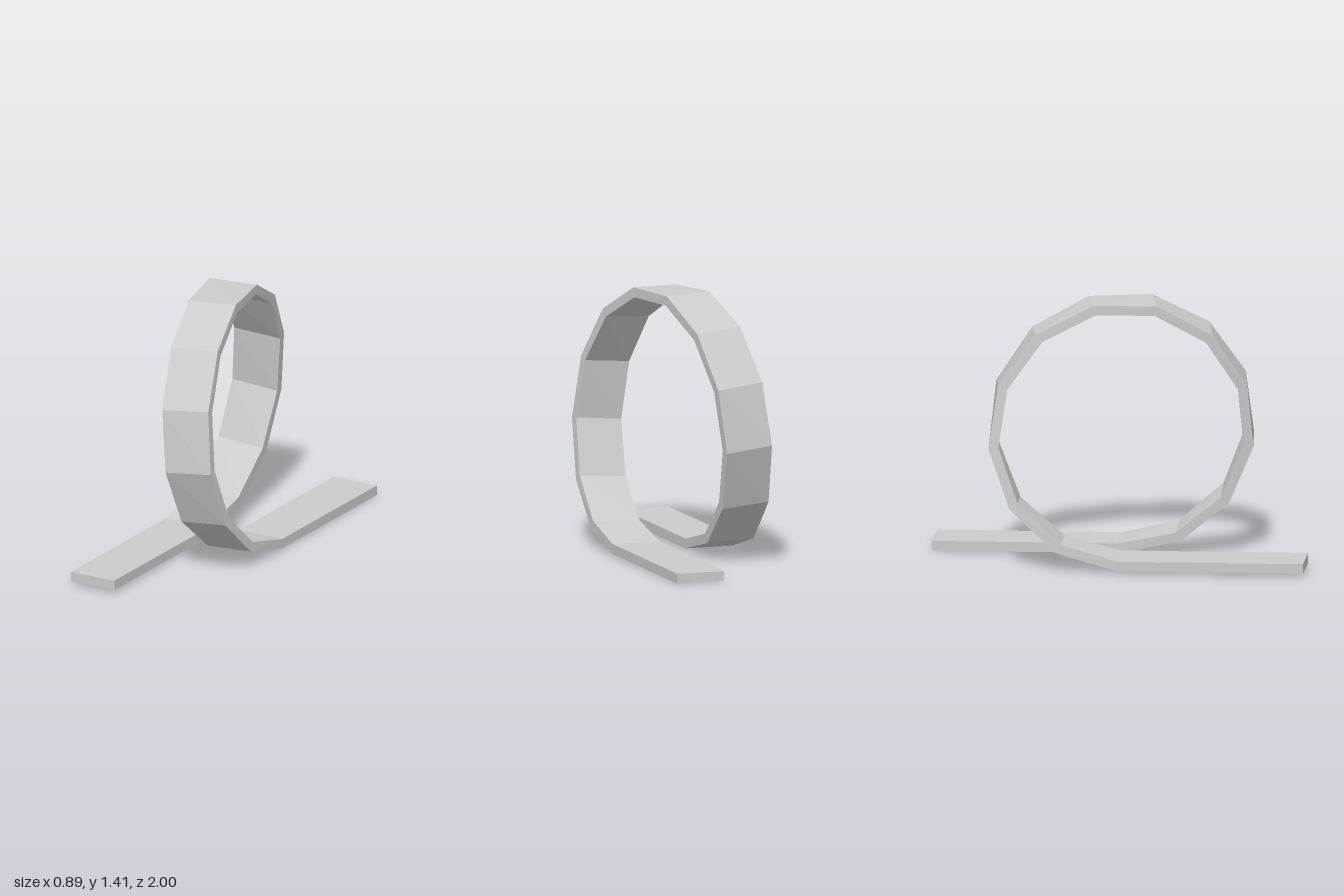
import * as THREE from 'three';

const SEGMENTS = 13, RADIUS = 0.6815, BASE = 0.037;
const WIDTH = 0.265, THICK = 0.053, SKEW = 0.1, DRIFT = 0.43, LEAN = 0.011;

// Four corners of the ribbon at a path point; theta is the angle travelled round the loop.
function section(x, y, z, theta) {
  const out = new THREE.Vector3(0, -Math.cos(theta), -Math.sin(theta));
  const across = new THREE.Vector3(1, -SKEW * Math.sin(theta), SKEW * Math.cos(theta)).normalize();
  return [[-1, 1], [1, 1], [1, -1], [-1, -1]].map(([u, v]) =>
    new THREE.Vector3(x, y, z)
      .addScaledVector(across, u * WIDTH / 2)
      .addScaledVector(out, v * THICK / 2));
}

// Skin a chain of four-cornered sections, with a cap at each end.
function skin(sections) {
  const points = [];
  const quad = (a, b, c, d) => points.push(a, b, c, a, c, d);
  for (let i = 0; i < sections.length - 1; i++) {
    const s = sections[i], n = sections[i + 1];
    for (let j = 0; j < 4; j++) {
      const k = (j + 1) % 4;
      quad(s[j], n[j], n[k], s[k]);
    }
  }
  quad(...sections[0]);
  quad(...[...sections[sections.length - 1]].reverse());
  const geometry = new THREE.BufferGeometry().setFromPoints(points);
  geometry.computeVertexNormals();
  return geometry;
}

export function createModel() {
  const group = new THREE.Group();
  group.name = 'loopTrack';
  const reach = 0.986, endX = DRIFT / 2 + SKEW * reach;

  // Straight run in from the front
  const sections = [section(-endX, 0.047, reach, 0)];

  // Faceted loop, drifting sideways as it turns
  for (let i = 0; i <= SEGMENTS; i++) {
    const t = i / SEGMENTS, theta = t * Math.PI * 2;
    const rise = RADIUS * (1 - Math.cos(theta));
    const z = -RADIUS * Math.sin(theta);
    sections.push(section(DRIFT * (t - 0.5), BASE + rise - LEAN * z, z + LEAN * rise, theta));
  }

  // Straight run out to the back
  sections.push(section(endX, 0.027, -reach, 0));

  const track = new THREE.Mesh(
    skin(sections),
    new THREE.MeshStandardMaterial({ color: 0xcccccc, flatShading: true }));
  track.name = 'track';
  group.add(track);
  return group;
}
